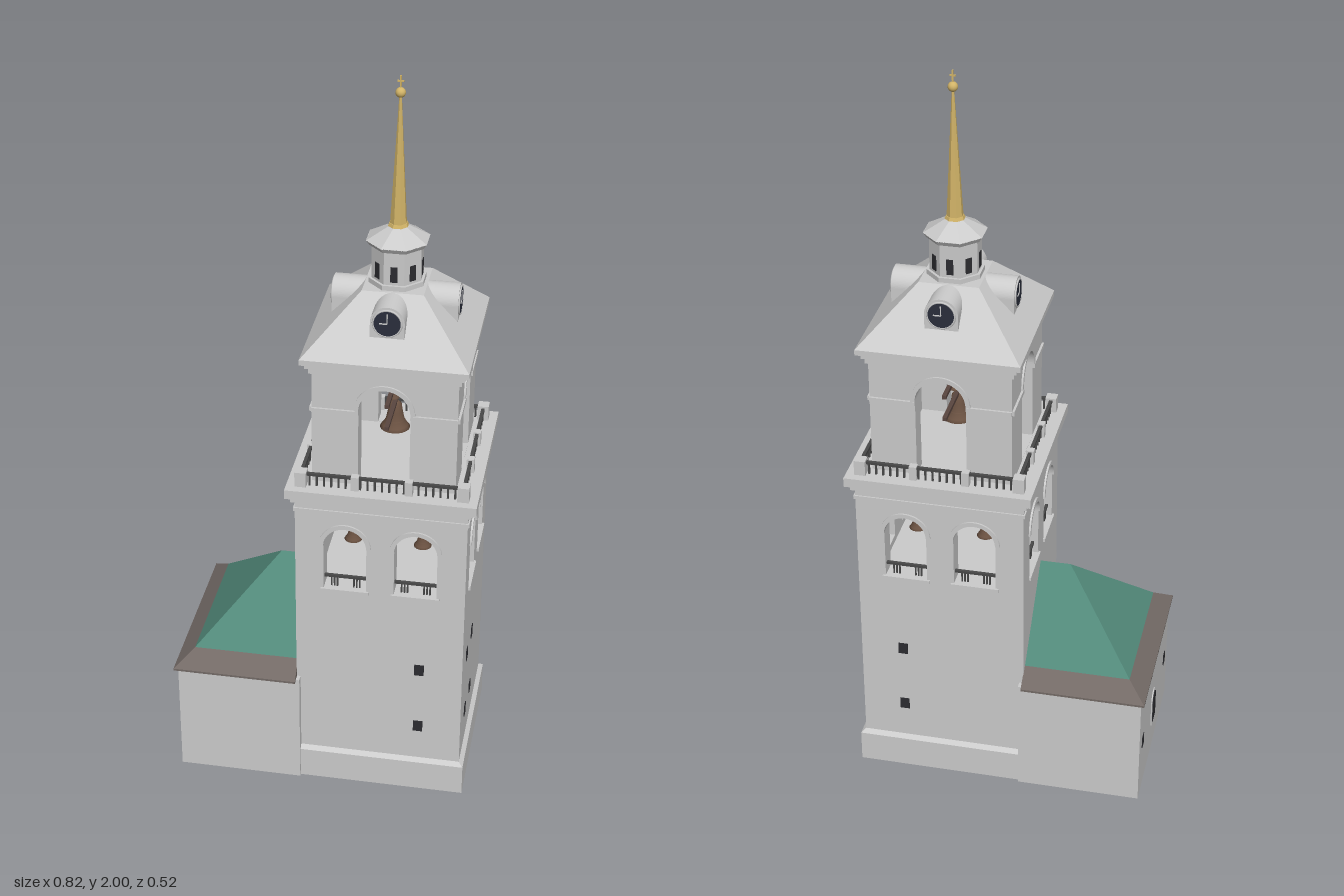
import * as THREE from 'three';

const mat = (color, flatShading = false) => new THREE.MeshStandardMaterial({ color, flatShading });
const GREY = mat(0xcccccc), FACET = mat(0xcccccc, true), DARK = mat(0x2c2c30), IRON = mat(0x484848);
const BRONZE = mat(0x6b5242), GOLD = mat(0xd2b468, true), GREEN = mat(0x52897a, true);
const BROWN = mat(0x736a66, true), WOOD = mat(0x5a4640), CLOCK = mat(0x2a2e3c);

function add(parent, name, geo, material, x = 0, y = 0, z = 0) {
  const m = new THREE.Mesh(geo, material);
  m.name = name;
  m.position.set(x, y, z);
  parent.add(m);
  return m;
}

// box given by its bottom height y0 and top height y1
const block = (p, name, w, y0, y1, d, material = GREY, x = 0, z = 0) =>
  add(p, name, new THREE.BoxGeometry(w, y1 - y0, d), material, x, (y0 + y1) / 2, z);

// four sided solid between two rectangles [x0, x1, z0, z1, y]
function frustum(a, b) {
  const ring = ([x0, x1, z0, z1, y]) => [[x0, y, z1], [x1, y, z1], [x1, y, z0], [x0, y, z0]];
  const lo = ring(a), hi = ring(b), pos = [];
  const quad = (p, q, r, s) => pos.push(...p, ...q, ...r, ...p, ...r, ...s);
  for (let i = 0; i < 4; i++) quad(lo[i], lo[(i + 1) % 4], hi[(i + 1) % 4], hi[i]);
  quad(...hi);
  quad(lo[3], lo[2], lo[1], lo[0]);
  const g = new THREE.BufferGeometry();
  g.setAttribute('position', new THREE.Float32BufferAttribute(pos, 3));
  g.computeVertexNormals();
  return g;
}
const square = (h, y) => [-h, h, -h, h, y];

// octagonal prism with flat sides facing the axes, sized by apothem
const octagon = (top, bottom, h) => {
  const k = 1 / Math.cos(Math.PI / 8);
  return new THREE.CylinderGeometry(top * k, bottom * k, h, 8).rotateY(Math.PI / 8);
};

function archPath(path, cx, r, y0, spring) {
  path.moveTo(cx - r, y0);
  path.lineTo(cx + r, y0);
  path.lineTo(cx + r, spring);
  path.absarc(cx, spring, r, 0, Math.PI, false);
  path.lineTo(cx - r, y0);
  return path;
}

const extrude = (shape, depth) =>
  new THREE.ExtrudeGeometry(shape, { depth, bevelEnabled: false, curveSegments: 20 });

// wall with arched openings, outer face at z = h
function archedWall(p, name, w, y0, y1, h, t, centres, r, sill, spring) {
  const s = new THREE.Shape([[-w, y0], [w, y0], [w, y1], [-w, y1]].map(c => new THREE.Vector2(...c)));
  for (const c of centres) s.holes.push(archPath(new THREE.Path(), c, r, sill, spring));
  add(p, name, extrude(s, t), GREY, 0, 0, h - t);
}

function archTrim(p, cx, r, spring, z) {
  const s = new THREE.Shape();
  s.absarc(0, 0, r + 0.012, 0, Math.PI, false);
  s.absarc(0, 0, r, Math.PI, 0, true);
  add(p, 'archTrim', extrude(s, 0.005), GREY, cx, spring, z);
}

function bell(p, x, top, z, r, h) {
  const pts = [[0, 1], [0.25, 0.98], [0.42, 0.88], [0.5, 0.6], [0.62, 0.3], [0.85, 0.1], [1, 0], [0.85, 0], [0.4, 0.6], [0, 0.8]]
    .map(([a, b]) => new THREE.Vector2(a * r, (b - 1) * h));
  const m = BRONZE.clone();
  m.side = THREE.DoubleSide;
  add(p, 'bell', new THREE.LatheGeometry(pts.reverse(), 20), m, x, top, z);
}

// run fn on each of the four sides, drawn as if facing +z
function fourSides(parent, name, fn) {
  for (let k = 0; k < 4; k++) {
    const g = new THREE.Group();
    g.name = name;
    g.rotation.y = k * Math.PI / 2;
    parent.add(g);
    fn(g, k);
  }
}

function lowerTower(t) {
  const H = 0.227, T = 0.05;
  block(t, 'plinth', 0.478, 0, 0.09, 0.478);
  add(t, 'plinthSlope', frustum(square(0.239, 0.09), square(H, 0.1)), FACET);
  block(t, 'towerBody', 2 * H, 0.09, 0.62, 2 * H);
  fourSides(t, 'belfrySide', (g, k) => {
    archedWall(g, 'belfryWall', k % 2 ? H - T : H, 0.62, 0.92, H, T, [-0.094, 0.094], 0.057, 0.64, 0.775);
    for (const c of [-0.094, 0.094]) {
      archTrim(g, c, 0.057, 0.775, H);
      block(g, 'sill', 0.13, 0.63, 0.64, 0.012, GREY, c, H);
      block(g, 'railing', 0.114, 0.668, 0.675, 0.008, IRON, c, H - 0.015);
      for (const s of [-1, 1]) for (const o of [0.022, 0.03, 0.038])
        block(g, 'baluster', 0.004, 0.64, 0.67, 0.004, IRON, c + s * o, H - 0.015);
    }
    // small dark windows on the front, the +x side and the back
    const columns = [[0.11], [-0.13, -0.024], [-0.11], []][k];
    for (const x of columns) for (const y of [0.21, 0.4])
      block(g, 'smallWindow', 0.026, y - 0.017, y + 0.017, 0.004, DARK, x, H);
  });
  for (const z of [-0.094, 0.094]) {
    block(t, 'bellBeam', 0.38, 0.766, 0.777, 0.011, WOOD, 0, z);
    for (const x of [-0.094, 0.094]) bell(t, x, 0.768, z, 0.024, 0.052);
  }
  block(t, 'stringCourse', 0.462, 0.875, 0.885, 0.462);
  block(t, 'corniceLower', 0.474, 0.905, 0.922, 0.474);
  block(t, 'balconySlab', 0.5, 0.922, 0.948, 0.5);
}

function balcony(t) {
  fourSides(t, 'balustrade', g => {
    block(g, 'cornerPost', 0.03, 0.948, 0.99, 0.03, GREY, 0.212, 0.212);
    for (const x of [-0.07, 0.07]) block(g, 'post', 0.02, 0.948, 0.988, 0.02, GREY, x, 0.212);
    block(g, 'handrail', 0.4, 0.978, 0.985, 0.009, IRON, 0, 0.212);
    for (let i = 0; i < 21; i++) block(g, 'baluster', 0.005, 0.948, 0.98, 0.005, IRON, -0.19 + i * 0.019, 0.212);
  });
}

function upperTower(t) {
  const H = 0.188, T = 0.05, R = 0.067, S = 1.168;
  fourSides(t, 'upperSide', (g, k) => {
    archedWall(g, 'upperWall', k % 2 ? H - T : H, 0.94, 1.28, H, T, [0], R, 0.949, S);
    archTrim(g, 0, R, S, H);
    for (const s of [-1, 1]) block(g, 'impost', H - R, S - 0.012, S, 0.012, GREY, s * (H + R) / 2, H);
  });
  for (const y of [1.1, 1.165]) block(t, 'bellBeam', 0.011, y - 0.005, y + 0.005, 0.3, WOOD);
  bell(t, 0, 1.1, 0, 0.04, 0.078);
  for (const z of [-0.036, 0.036]) bell(t, 0, 1.165, z, 0.016, 0.035);
  block(t, 'corniceLower', 0.39, 1.268, 1.285, 0.39);
  block(t, 'corniceMiddle', 0.406, 1.285, 1.3, 0.406);
  block(t, 'corniceTop', 0.43, 1.3, 1.315, 0.43);
  add(t, 'towerRoof', frustum(square(0.215, 1.315), square(0.079, 1.455)), FACET);
}

function clockDormers(t) {
  fourSides(t, 'clockDormer', g => {
    const r = 0.044, y = 1.411;
    add(g, 'barrelDormer', extrude(archPath(new THREE.Shape(), 0, r, 1.368, y), 0.112), GREY, 0, 0, 0.05);
    const face = add(g, 'clockFace', new THREE.CylinderGeometry(0.035, 0.035, 0.006, 28), CLOCK, 0, y, 0.162);
    face.rotation.x = Math.PI / 2;
    add(g, 'clockRim', new THREE.TorusGeometry(0.036, 0.003, 6, 28), GREY, 0, y, 0.163);
    block(g, 'minuteHand', 0.003, y, y + 0.027, 0.002, GREY, 0, 0.166);
    block(g, 'hourHand', 0.02, y - 0.0015, y + 0.0015, 0.002, GREY, -0.01, 0.166);
  });
}

function lanternAndSpire(t) {
  add(t, 'lanternBase', octagon(0.07, 0.07, 0.016), FACET, 0, 1.46);
  add(t, 'lantern', octagon(0.063, 0.063, 0.11), FACET, 0, 1.51);
  for (let i = 0; i < 8; i++) {
    const a = i * Math.PI / 4;
    const w = add(t, 'lanternWindow', new THREE.BoxGeometry(0.018, 0.042, 0.004), DARK,
      0.063 * Math.sin(a), 1.497, 0.063 * Math.cos(a));
    w.rotation.y = a;
  }
  add(t, 'lanternCornice', octagon(0.077, 0.069, 0.013), FACET, 0, 1.565);
  add(t, 'lanternRoof', octagon(0.02, 0.077, 0.036), FACET, 0, 1.589);
  add(t, 'spireFoot', octagon(0.022, 0.025, 0.008), GOLD, 0, 1.61);
  add(t, 'spire', octagon(0.003, 0.02, 0.335), GOLD, 0, 1.781);
  add(t, 'spireBall', new THREE.SphereGeometry(0.013, 16, 12), mat(0xd2b468), 0, 1.957);
  block(t, 'crossPost', 0.004, 1.965, 2, 0.004, GOLD);
  block(t, 'crossArm', 0.016, 1.984, 1.988, 0.004, GOLD);
}

function annex(root) {
  const g = new THREE.Group();
  g.name = 'annex';
  root.add(g);
  block(g, 'annexWalls', 0.34, 0, 0.336, 0.494, GREY, -0.23);
  const X = -0.07;
  add(g, 'eaves', frustum([-0.41, X, -0.26, 0.26, 0.332], [-0.41, X, -0.26, 0.26, 0.338]), BROWN);
  add(g, 'roofSkirt', frustum([-0.41, X, -0.26, 0.26, 0.338], [-0.36, X, -0.206, 0.206, 0.379]), BROWN);
  add(g, 'hippedRoof', frustum([-0.36, X, -0.206, 0.206, 0.379], [-0.155, X, 0, 0, 0.588]), GREEN);
  // openings in the end wall
  for (const z of [-0.19, 0.19]) block(g, 'smallWindow', 0.004, 0.145, 0.18, 0.026, DARK, -0.4, z);
  for (const z of [-0.18, -0.06, 0.06, 0.18]) block(g, 'ventHole', 0.004, 0.282, 0.298, 0.016, DARK, -0.4, z);
  const frame = add(g, 'archedWindowFrame', extrude(archPath(new THREE.Shape(), 0, 0.031, 0.095, 0.17), 0.003), GREY, -0.4, 0, -0.01);
  const pane = add(g, 'archedWindow', extrude(archPath(new THREE.Shape(), 0, 0.023, 0.102, 0.17), 0.005), DARK, -0.4, 0, -0.01);
  frame.rotation.y = pane.rotation.y = -Math.PI / 2;
}

export function createModel() {
  const root = new THREE.Group();
  root.name = 'bellTower';
  const tower = new THREE.Group();
  tower.name = 'tower';
  tower.position.x = 0.156;
  root.add(tower);
  for (const part of [lowerTower, balcony, upperTower, clockDormers, lanternAndSpire]) part(tower);
  annex(root);
  return root;
}
